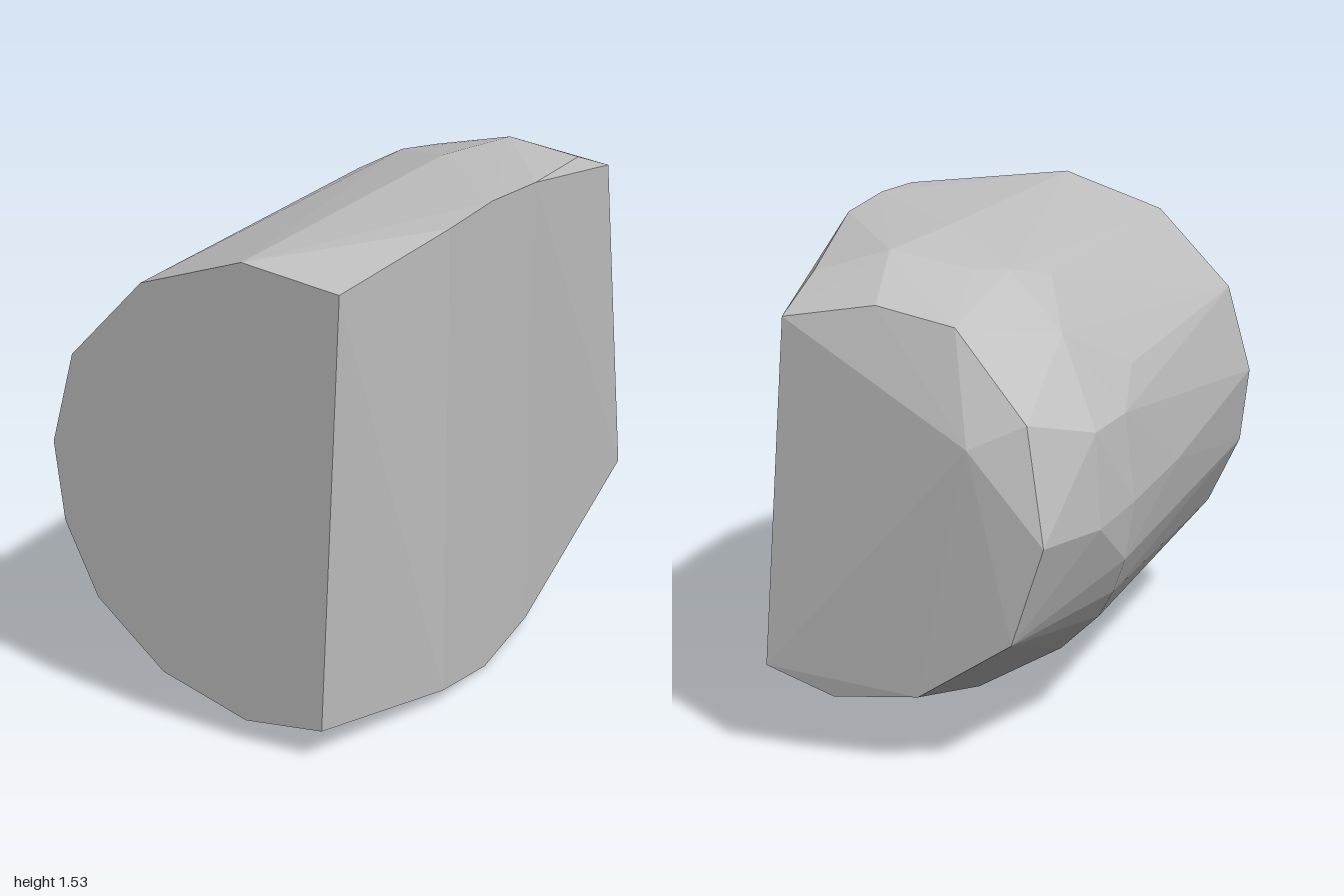
import * as THREE from 'three';
import { ConvexGeometry } from 'three/addons/geometries/ConvexGeometry.js';

// Outline of the nearly flat front face, as x, y
const frontFace = [
  [0.39, 0.105], [0.455, 1.46], [0.14, 1.505], [-0.2, 1.39], [-0.45, 1.13],
  [-0.53, 0.84], [-0.5, 0.59], [-0.39, 0.36], [-0.16, 0.165], [0.13, 0.075],
];

// Corners of the flat side, as x, y, z
const flatSide = [
  [0.53, 1.52, 0.48], [0.53, 1.53, 0.2], [0.53, 1.51, -0.1], [0.41, 1.43, -0.69],
  [0.53, 0.045, 0.49], [0.53, 0, 0.2], [0.53, 0.045, -0.1],
];

// Facet corners along the rounded side, from top to bottom
const roundedSide = [
  [0.2, 1.49, -0.61], [0.14, 1.51, -0.24], [-0.05, 1.44, -0.58], [-0.14, 1.43, -0.5],
  [-0.215, 1.395, -0.34], [-0.33, 1.27, -0.6], [-0.45, 1.12, -0.26],
  [-0.47, 1.01, -0.72], [-0.495, 1.02, -0.5], [-0.525, 0.75, -0.49], [-0.53, 0.76, 0],
  [-0.485, 0.72, -0.72], [-0.5, 0.57, -0.5], [-0.45, 0.45, -0.45], [-0.39, 0.35, -0.4],
  [-0.27, 0.235, -0.4], [-0.16, 0.16, -0.3], [-0.02, 0.1, -0.45], [0.2, 0.1, -0.57],
];

// Shallow pointed cap at the back
const backCap = [
  [0.41, 1.34, -0.94], [0.13, 1.385, -0.92], [-0.11, 1.335, -0.92], [-0.33, 1.07, -0.94],
  [-0.39, 0.72, -0.97], [-0.29, 0.42, -0.96], [0, 0.23, -0.95], [0.27, 0.2, -0.94],
  [0.48, 0.28, -0.95], [-0.17, 1.0, -1],
];

export function createModel() {
  const group = new THREE.Group();
  group.name = 'facetedBlock';

  const grey = new THREE.MeshStandardMaterial({ color: 0xbfbfbf, flatShading: true });
  grey.name = 'plain grey';

  // The front face leans back slightly towards the rounded side
  const front = frontFace.map(([x, y]) => [x, y, 0.993 + 0.015 * x]);
  const points = [...front, ...flatSide, ...roundedSide, ...backCap]
    .map((p) => new THREE.Vector3(...p));

  const body = new THREE.Mesh(new ConvexGeometry(points), grey);
  body.name = 'body';
  group.add(body);
  return group;
}
